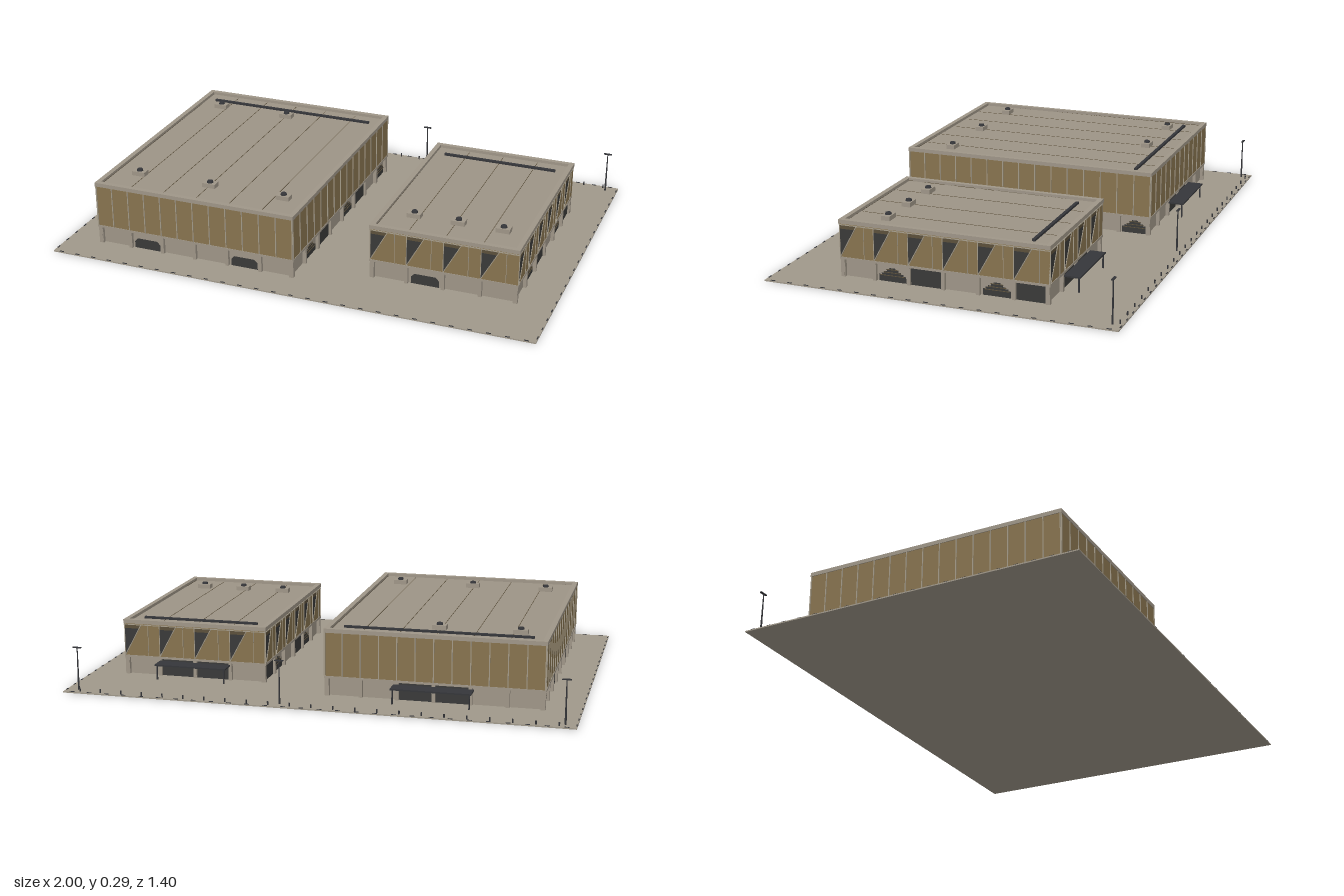
import * as THREE from 'three';

const mat = (name, color, side = THREE.FrontSide) => {
  const m = new THREE.MeshStandardMaterial({ color, side });
  m.name = name;
  return m;
};

export function createModel() {
  const M = {
    concrete: mat('concrete', 0x9f9688),
    paving: mat('paving', 0xa0988a),
    roof: mat('roofing', 0x9d9486),
    cladding: mat('bronze cladding', 0x87734f),
    trim: mat('light trim', 0xa39a88),
    header: mat('dark bronze', 0x5c503b),
    dark: mat('dark glass', 0x3a3a39, THREE.DoubleSide),
    metal: mat('dark metal', 0x35363a),
  };
  const model = new THREE.Group();

  const add = (parent, geo, material, name, x = 0, y = 0, z = 0) => {
    const m = new THREE.Mesh(geo, material);
    m.name = name;
    m.position.set(x, y, z);
    parent.add(m);
    return m;
  };
  // Box given by its centre in x and z and by its bottom in y
  const box = (parent, name, material, w, h, d, x, y, z) =>
    add(parent, new THREE.BoxGeometry(w, h, d), material, name, x, y + h / 2, z);
  const plate = (parent, name, material, pts, x, y, z) =>
    add(parent, new THREE.ShapeGeometry(new THREE.Shape(pts.map(p => new THREE.Vector2(...p)))), material, name, x, y, z);

  // Paved site with dashed edging
  const G = 0.005;
  box(model, 'siteSlab', M.paving, 2, G, 1.4, 0, 0, 0);
  for (let i = 0; i < 28; i++) {
    const x = -0.964 + i * 0.0714;
    for (const s of [-1, 1]) box(model, 'edgeMark', M.metal, 0.018, 0.002, 0.004, x, G, s * 0.697);
  }
  for (let i = 0; i < 20; i++) {
    const z = -0.665 + i * 0.07;
    for (const s of [-1, 1]) box(model, 'edgeMark', M.metal, 0.004, 0.002, 0.018, s * 0.997, G, z);
  }

  // Bollards and lamp posts along the back
  for (let i = 0; i < 23; i++)
    add(model, new THREE.CylinderGeometry(0.003, 0.003, 0.014, 8), M.metal, 'bollard', -0.935 + i * 0.085, G + 0.007, -0.685);
  for (const x of [-0.955, 0.13, 0.95]) {
    add(model, new THREE.CylinderGeometry(0.002, 0.004, 0.17, 8), M.metal, 'lampPost', x, G + 0.085, -0.662);
    box(model, 'lampHead', M.metal, 0.034, 0.004, 0.009, x, 0.174, -0.664);
  }

  const BASE = 0.075, BAND = 0.084, RECESS = 0.014;

  // Opening shapes, centred on x with the sill at zero
  const lowArch = w => [[-w, 0], [w, 0], [w, 0.028], [w - 0.014, 0.042], [0.014 - w, 0.042], [-w, 0.028]];
  const stepped = w => {
    const right = [[w, 0]];
    for (let i = 0; i < 5; i++) {
      const x = w * (1 - i * 0.19), y = 0.026 + i * 0.007;
      right.push([x, y], [x - w * 0.19, y]);
    }
    return [...right, ...right.slice().reverse().map(([x, y]) => [-x, y])];
  };

  // Pilasters, plinth openings and cladding of one wall; local z points outward
  const facade = (parent, o) => {
    const { width, depth, angle, bays, openings, top, windows } = o;
    const f = new THREE.Group();
    f.name = 'facade';
    f.rotation.y = angle;
    parent.add(f);
    const out = depth / 2, bay = width / bays;
    for (let i = 0; i <= bays; i++) {
      const x = Math.min(Math.max(-width / 2 + i * bay, -width / 2 + 0.008), width / 2 - 0.008);
      box(f, 'pilaster', M.concrete, 0.014, BASE - G, 0.018, x, G, out - 0.009);
    }
    openings.forEach((kind, i) => {
      const x = -width / 2 + (i + 0.5) * bay, z = out - RECESS + 0.002;
      if (kind === 'arch') plate(f, 'lowArchDoor', M.dark, lowArch(0.057), x, G, z);
      if (kind === 'step') {
        plate(f, 'steppedDoor', M.dark, stepped(0.056), x, G, z);
        for (let k = 0; k < 3; k++)
          box(f, 'doorSlat', M.header, 0.1 - k * 0.025, 0.002, 0.003, x, 0.028 + k * 0.012, z + 0.001);
      }
      if (kind === 'full')
        box(f, 'glazedBay', M.dark, bay - 0.012, BASE - G - 0.004, 0.004, x, G, z);
    });
    const h = top - BAND;
    if (!windows) {
      // Ribs at half-bay pitch
      const n = Math.round(width / 0.0717);
      for (let i = 0; i <= n; i++) {
        const x = Math.min(Math.max(-width / 2 + i * width / n, -width / 2 + 0.002), width / 2 - 0.002);
        box(f, 'rib', M.trim, 0.004, h, 0.006, x, BAND, out);
      }
      return;
    }
    // Triangular windows, wide at the head and tapering to the sill
    for (let i = 0; i < bays; i++) {
      const x = -width / 2 + i * bay + 0.003, w = 0.068, y1 = top - 0.006, y0 = BAND + 0.002;
      const yh = y1 - 0.014, wh = w * (yh - y0) / (y1 - y0);
      plate(f, 'windowGlass', M.dark, [[0, y0], [wh, yh], [0, yh]], x, 0, out + 0.002);
      plate(f, 'windowHeader', M.header, [[0, yh], [wh, yh], [w, y1], [0, y1]], x, 0, out + 0.002);
      const bar = box(f, 'windowEdge', M.trim, 0.003, Math.hypot(w, y1 - y0), 0.007, 0, 0, 0);
      bar.position.set(x + w / 2, (y0 + y1) / 2, out + 0.001);
      bar.rotation.z = -Math.atan2(w, y1 - y0);
      box(f, 'windowJamb', M.trim, 0.003, h, 0.006, x - 0.0015, BAND, out);
      box(f, 'rib', M.trim, 0.002, h, 0.005, x + w + 0.03, BAND, out);
    }
    box(f, 'windowHeadTrim', M.trim, width, 0.003, 0.006, 0, top - 0.006, out);
  };

  const building = o => {
    const { name, x, z, w, d, height, baysX, baysZ, windows, vents, gutter, canopy } = o;
    const b = new THREE.Group();
    b.name = name;
    b.position.set(x, 0, z);
    model.add(b);
    const top = height - 0.016, roofY = height - 0.012;
    box(b, 'plinthWall', M.concrete, w - 2 * RECESS, BASE - G, d - 2 * RECESS, 0, G, 0);
    box(b, 'plinthBand', M.concrete, w + 0.004, BAND - BASE, d + 0.004, 0, BASE, 0);
    box(b, 'upperWalls', M.cladding, w, top - BAND, d, 0, BAND, 0);

    // Parapet ring and coping line
    const ring = (W, D, t, h, y, nm, m) => {
      const rect = (P, a, c) => new P([new THREE.Vector2(-a, -c), new THREE.Vector2(a, -c), new THREE.Vector2(a, c), new THREE.Vector2(-a, c)]);
      const s = rect(THREE.Shape, W / 2, D / 2);
      s.holes.push(rect(THREE.Path, W / 2 - t, D / 2 - t));
      const g = new THREE.ExtrudeGeometry(s, { depth: h, bevelEnabled: false });
      g.rotateX(-Math.PI / 2);
      add(b, g, m, nm, 0, y, 0);
    };
    ring(w + 0.006, d + 0.006, 0.02, 0.016, top, 'parapet', M.concrete);
    ring(w - 0.028, d - 0.028, 0.003, 0.006, top, 'parapetFlashing', M.header);

    // Roof deck with seams between strips
    box(b, 'roofDeck', M.roof, w - 0.03, roofY - top, d - 0.03, 0, top, 0);
    for (let i = 1; i < baysX; i++)
      box(b, 'roofSeam', M.header, 0.002, 0.001, d - 0.05, -w / 2 + i * w / baysX, roofY, 0);
    box(b, 'roofGutter', M.metal, gutter[1], 0.008, 0.013, 0, roofY, gutter[0] - z);
    for (const [vx, vz] of vents) {
      box(b, 'roofVent', M.concrete, 0.056, 0.018, 0.036, vx - x, roofY, vz - z);
      add(b, new THREE.CylinderGeometry(0.011, 0.013, 0.008, 12), M.metal, 'ventCap', vx - x, roofY + 0.022, vz - z);
    }

    // Walls on all four sides
    const side = Array.from({ length: baysZ }, (_, i) => ['', 'step', 'full'][i % 3]);
    const front = Array.from({ length: baysX }, (_, i) => (i % 3 === 1 ? 'arch' : ''));
    const mid = baysX / 2;
    const back = front.map((_, i) => (i === mid || i === mid - 1 ? 'full' : ''));
    const shared = { top, windows };
    facade(b, { ...shared, width: w, depth: d, angle: 0, bays: baysX, openings: front });
    facade(b, { ...shared, width: d, depth: w, angle: Math.PI / 2, bays: baysZ, openings: side });
    facade(b, { ...shared, width: w, depth: d, angle: Math.PI, bays: baysX, openings: back });
    facade(b, { ...shared, width: d, depth: w, angle: -Math.PI / 2, bays: baysZ, openings: side.slice().reverse() });

    // Entrance canopy on posts at the back
    box(b, 'canopy', M.metal, canopy, 0.006, 0.064, 0, 0.062, -d / 2 - 0.032);
    for (const s of [-1, 1])
      box(b, 'canopyPost', M.metal, 0.005, 0.06, 0.005, s * (canopy / 2 - 0.008), G, -d / 2 - 0.056);
  };

  building({
    name: 'largeHall', x: -0.435, z: 0.029, w: 0.856, d: 1.076, height: 0.272,
    baysX: 6, baysZ: 8, windows: false, gutter: [-0.425, 0.74], canopy: 0.312,
    vents: [[-0.745, -0.363], [-0.43, -0.363], [-0.745, 0.41], [-0.43, 0.41], [-0.11, 0.41]],
  });
  building({
    name: 'smallHall', x: 0.563, z: 0.027, w: 0.594, d: 0.844, height: 0.232,
    baysX: 4, baysZ: 6, windows: true, gutter: [-0.31, 0.48], canopy: 0.296,
    vents: [[0.395, 0.295], [0.575, 0.295], [0.755, 0.295]],
  });

  return model;
}
